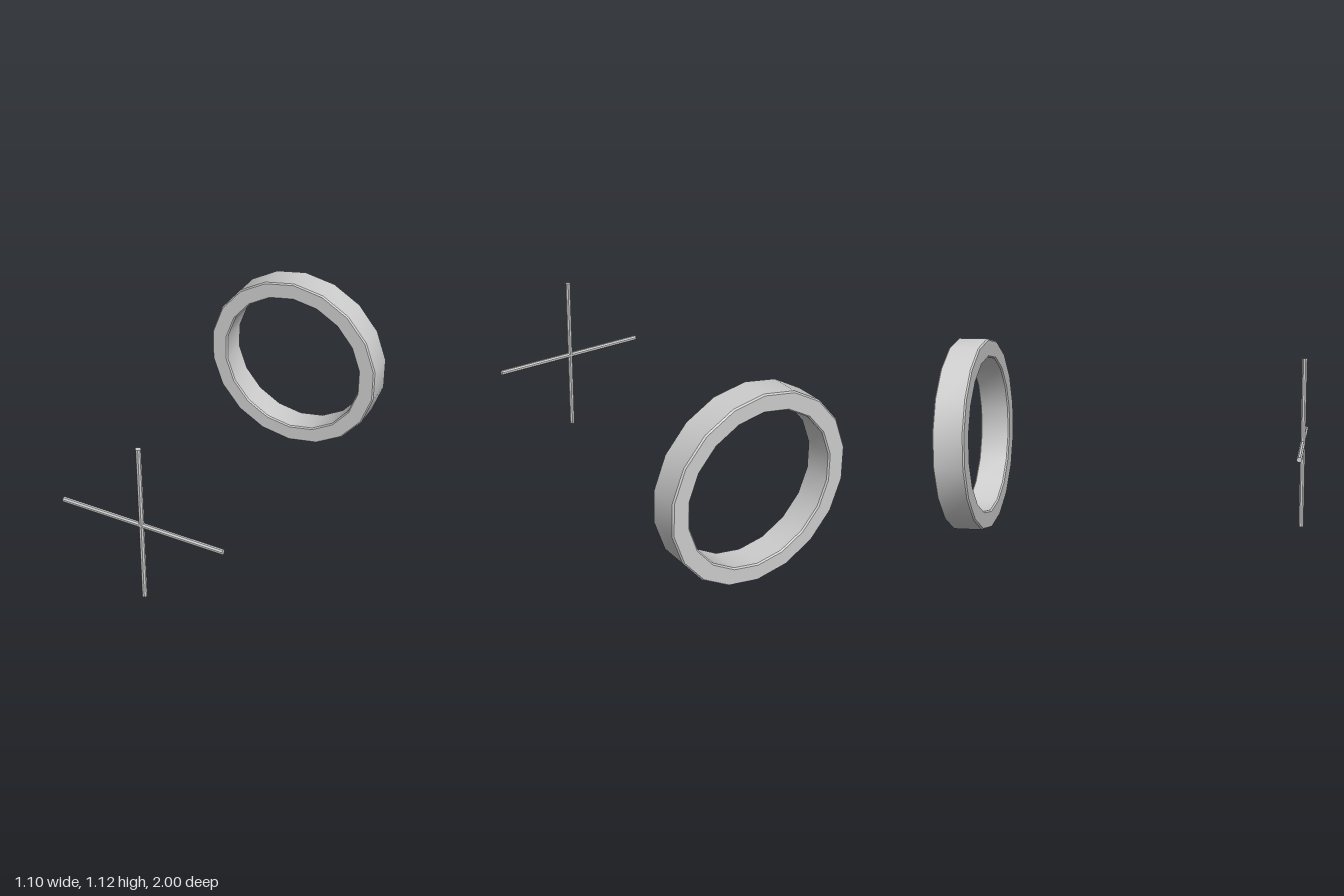
import * as THREE from 'three';
import { toCreasedNormals } from 'three/addons/utils/BufferGeometryUtils.js';

export function createModel() {
  const model = new THREE.Group();
  model.name = 'scopeSight';
  const grey = new THREE.MeshStandardMaterial({ color: 0xcccccc });

  // Rear ring: an 18-sided hoop with chamfered rims
  const outer = 0.558, inner = 0.452, half = 0.09, bevel = 0.008;
  const profile = [
    [outer - bevel, -half], [outer, -half + bevel],
    [outer, half - bevel], [outer - bevel, half],
    [inner + bevel, half], [inner, half - bevel],
    [inner, -half + bevel], [inner + bevel, -half],
    [outer - bevel, -half],
  ].map(([r, y]) => new THREE.Vector2(r, y));
  const ringGeometry = toCreasedNormals(new THREE.LatheGeometry(profile, 18), 0.5);
  ringGeometry.rotateX(Math.PI / 2);
  const ring = new THREE.Mesh(ringGeometry, grey);
  ring.name = 'rearRing';
  ring.position.set(0, 0.562, -0.91);
  model.add(ring);

  // Front crosshair: two octagonal rods meeting at their middles
  const cross = new THREE.Group();
  cross.name = 'frontCrosshair';
  cross.position.set(0.003, 0.563, 0.986);
  const apothem = 0.014, length = 0.96;
  const rodRadius = apothem / Math.cos(Math.PI / 8);
  const rodGeometry = toCreasedNormals(
    new THREE.CylinderGeometry(rodRadius, rodRadius, length, 8).rotateY(Math.PI / 8), 0.5);
  for (const [name, angle] of [['verticalRod', 0], ['horizontalRod', Math.PI / 2]]) {
    const rod = new THREE.Mesh(rodGeometry, grey);
    rod.name = name;
    rod.rotation.z = angle;
    cross.add(rod);
  }
  model.add(cross);

  return model;
}
